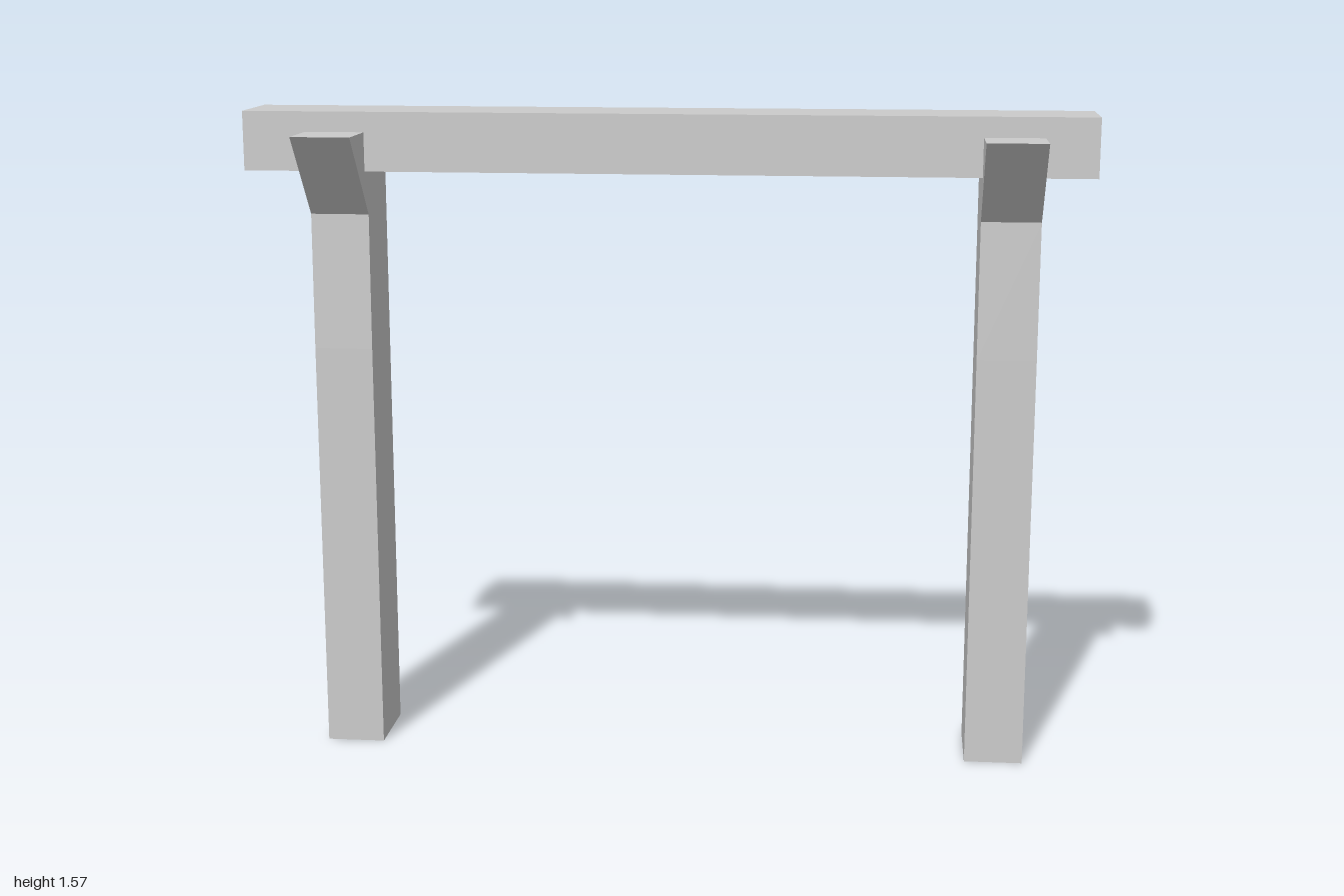
import * as THREE from 'three';

const WIDTH = 0.14; // post thickness along x

export function createModel() {
  const group = new THREE.Group();
  const material = new THREE.MeshStandardMaterial({ color: 0xcccccc, flatShading: true });

  // Crossbeam lying in the post heads
  const beam = new THREE.Mesh(new THREE.BoxGeometry(2, 0.14, 0.193), material);
  beam.name = 'crossbeam';
  beam.position.set(0, 1.5, -0.057);
  group.add(beam);

  // Post side profile (z, y) with a sloped bracket flaring to the front
  const profile = new THREE.Shape([
    [-0.18, 0], [0.015, 0], [0.015, 1], [0.01, 1.325], [0.18, 1.522], [-0.18, 1.522],
  ].map(([z, y]) => new THREE.Vector2(z, y)));
  const postGeometry = new THREE.ExtrudeGeometry(profile, { depth: WIDTH, bevelEnabled: false });
  postGeometry.translate(0, 0, -WIDTH / 2);
  postGeometry.rotateY(-Math.PI / 2);

  // Two bracketed posts
  for (const [name, x] of [['rightPost', -0.78], ['leftPost', 0.806]]) {
    const post = new THREE.Mesh(postGeometry, material);
    post.name = name;
    post.position.x = x;
    group.add(post);
  }

  return group;
}
